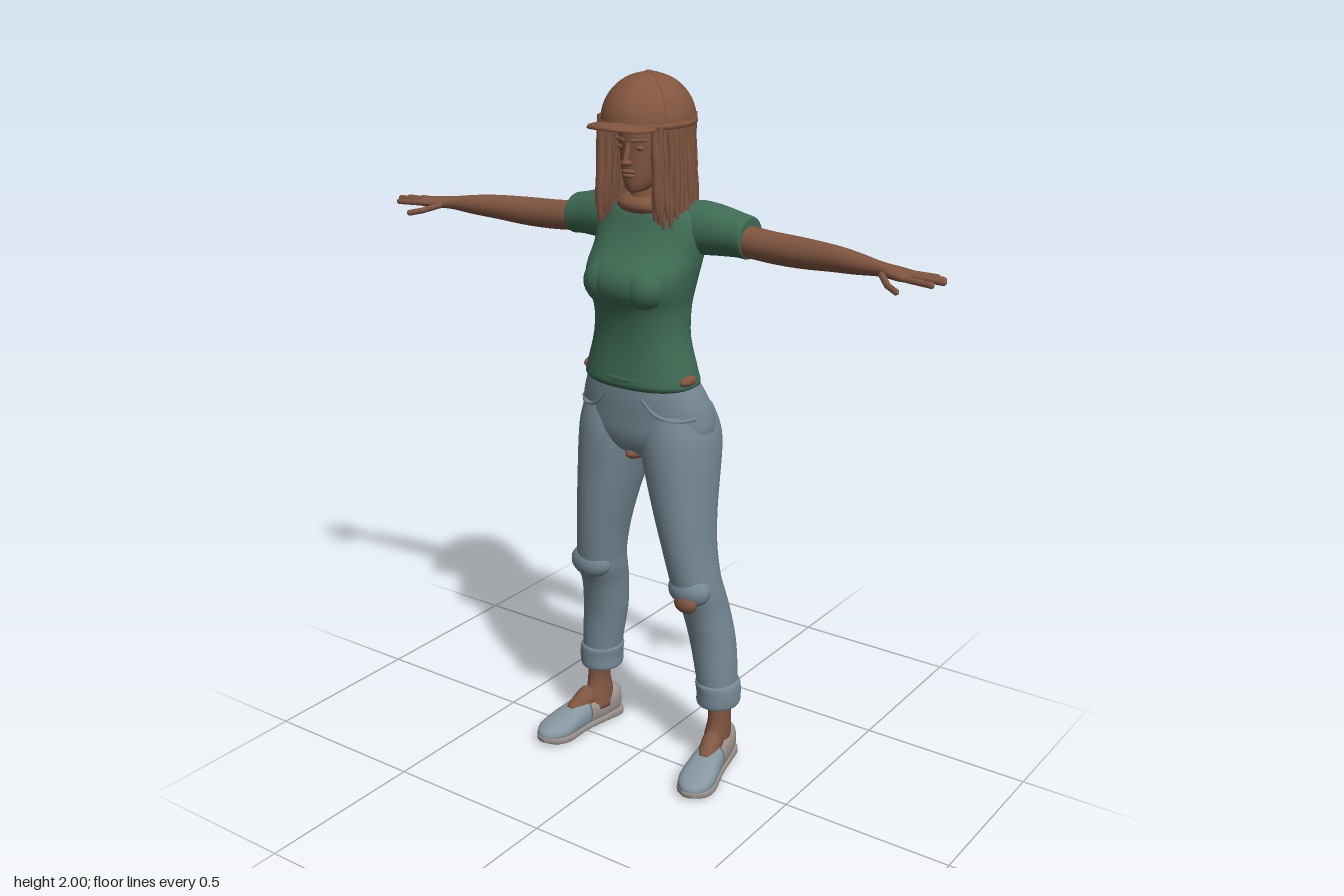
import * as THREE from 'three';
import { mergeGeometries } from 'three/addons/utils/BufferGeometryUtils.js';

const mat = (name, color) => {
  const m = new THREE.MeshStandardMaterial({ color, side: THREE.DoubleSide });
  m.name = name;
  return m;
};

// Smooth interpolation of rows of numbers
function smoothRows(rows, sub) {
  const out = [], at = i => rows[Math.min(Math.max(i, 0), rows.length - 1)];
  for (let i = 0; i < rows.length - 1; i++) {
    for (let s = 0; s < sub; s++) {
      const t = s / sub;
      out.push(rows[i].map((b, k) => {
        const a = at(i - 1)[k], c = at(i + 1)[k], d = at(i + 2)[k];
        return b + 0.5 * t * (c - a + t * (2 * a - 5 * b + 4 * c - d + t * (3 * (b - c) + d - a)));
      }));
    }
  }
  out.push(rows[rows.length - 1]);
  return out;
}

// Skin over rounded sections: each row is [position, a0, a1, b0, b1] along an axis
function loft(axis, rows, { n = 28, sub = 4, pow = 2 } = {}) {
  const rings = smoothRows(rows, sub), pos = [], idx = [];
  const put = (t, a, b) => pos.push(...(axis === 'x' ? [t, a, b] : axis === 'y' ? [a, t, b] : [a, b, t]));
  const round = v => Math.sign(v) * Math.abs(v) ** (2 / pow);
  const tri = (a, b, c) => (axis === 'y' ? idx.push(a, b, c) : idx.push(a, c, b));
  for (const [t, a0, a1, b0, b1] of rings) {
    for (let j = 0; j < n; j++) {
      const w = (j / n) * Math.PI * 2;
      put(t, (a0 + a1) / 2 + (a1 - a0) / 2 * round(Math.cos(w)), (b0 + b1) / 2 + (b1 - b0) / 2 * round(Math.sin(w)));
    }
  }
  const last = rings.length - 1, mid = pos.length / 3;
  for (const r of [rings[0], rings[last]]) put(r[0], (r[1] + r[2]) / 2, (r[3] + r[4]) / 2);
  for (let j = 0; j < n; j++) {
    const k = (j + 1) % n;
    for (let i = 0; i < last; i++) {
      tri(i * n + j, (i + 1) * n + j, i * n + k);
      tri(i * n + k, (i + 1) * n + j, (i + 1) * n + k);
    }
    tri(mid, j, k);
    tri(mid + 1, last * n + k, last * n + j);
  }
  const g = new THREE.BufferGeometry();
  g.setAttribute('position', new THREE.Float32BufferAttribute(pos, 3));
  g.setIndex(idx);
  g.computeVertexNormals();
  return g;
}

const ball = (x, y, z, rx, ry, rz) => new THREE.SphereGeometry(1, 20, 14).scale(rx, ry, rz).translate(x, y, z);

// Rounded rod between two points
function rod(p, q, r) {
  const a = new THREE.Vector3(...p), b = new THREE.Vector3(...q), d = b.clone().sub(a);
  const turn = new THREE.Quaternion().setFromUnitVectors(new THREE.Vector3(0, 1, 0), d.clone().normalize());
  return new THREE.CapsuleGeometry(r, d.length(), 4, 8).applyQuaternion(turn).translate(...a.add(b).multiplyScalar(0.5).toArray());
}

function mirrored(g) {
  const m = g.clone().scale(-1, 1, 1), ix = m.index.array;
  for (let i = 0; i < ix.length; i += 3) [ix[i], ix[i + 1]] = [ix[i + 1], ix[i]];
  return m;
}

export function createModel() {
  const model = new THREE.Group();
  const skin = mat('skin brown', 0x805540), hairMat = mat('hair brown', 0x7e543f), capMat = mat('cap brown', 0x83563f);
  const green = mat('shirt green', 0x3e6b54), denim = mat('denim blue', 0x768995);
  const shoeBlue = mat('shoe blue grey', 0x8697a1), shoeGrey = mat('shoe warm grey', 0x9a908c);
  const add = (name, g, m) => {
    const mesh = new THREE.Mesh(g, m);
    mesh.name = name;
    model.add(mesh);
  };
  const pair = (name, g, m) => {
    add('left ' + name, g, m);
    add('right ' + name, mirrored(g), m);
  };
  const sym = ([t, w, z0, z1]) => [t, -w, w, z0, z1];

  // Shirt
  add('shirt body', loft('y', [
    [1.165, 0.16, -0.1, 0.092], [1.18, 0.172, -0.112, 0.104], [1.21, 0.165, -0.108, 0.102], [1.3, 0.141, -0.1, 0.096],
    [1.38, 0.136, -0.115, 0.108], [1.44, 0.147, -0.133, 0.137], [1.49, 0.154, -0.147, 0.13], [1.54, 0.157, -0.157, 0.085],
    [1.59, 0.162, -0.158, 0.052], [1.63, 0.15, -0.148, 0.035], [1.655, 0.115, -0.13, 0.022], [1.668, 0.075, -0.11, 0.01],
  ].map(sym), { n: 40, pow: 2.25 }), green);
  pair('bust', ball(0.062, 1.455, 0.072, 0.066, 0.065, 0.062), green);
  pair('sleeve', loft('x', [
    [0.07, 1.55, 1.66, -0.14, -0.01], [0.13, 1.525, 1.667, -0.152, -0.012], [0.19, 1.527, 1.662, -0.15, -0.018],
    [0.25, 1.53, 1.648, -0.147, -0.026], [0.282, 1.528, 1.641, -0.146, -0.028], [0.286, 1.535, 1.634, -0.138, -0.034],
  ]), green);
  add('shirt hem', new THREE.TorusGeometry(1, 0.045, 8, 40).rotateX(Math.PI / 2).scale(0.164, 0.2, 0.104).translate(0, 1.195, -0.003), green);

  // Neck, upper chest and upper back
  add('neck', loft('y', [[1.6, 0.06, -0.12, 0.02], [1.66, 0.054, -0.11, 0.026], [1.7, 0.046, -0.1, 0.022], [1.77, 0.048, -0.1, 0.02]].map(sym)), skin);
  add('upper chest', ball(0, 1.655, -0.02, 0.085, 0.032, 0.066), skin);
  add('upper back', ball(0, 1.605, -0.092, 0.118, 0.068, 0.08), skin);

  // Arms and hands
  pair('arm', loft('x', [
    [0.2, 1.54, 1.625, -0.132, -0.042], [0.28, 1.535, 1.618, -0.126, -0.037], [0.36, 1.53, 1.613, -0.118, -0.036],
    [0.45, 1.531, 1.611, -0.108, -0.03], [0.55, 1.54, 1.608, -0.087, -0.019], [0.62, 1.546, 1.602, -0.069, -0.011],
    [0.69, 1.554, 1.592, -0.05, -0.006], [0.73, 1.556, 1.588, -0.053, 0.014], [0.77, 1.557, 1.585, -0.049, 0.03], [0.795, 1.561, 1.581, -0.042, 0.026],
  ], { n: 20 }), skin);
  const fingers = [[[0.77, 1.57, -0.04], [0.835, 1.567, -0.05]], [[0.78, 1.572, -0.02], [0.862, 1.57, -0.024]],
    [[0.78, 1.573, 0], [0.873, 1.571, 0]], [[0.78, 1.57, 0.02], [0.855, 1.567, 0.028]],
    [[0.715, 1.568, 0.008], [0.75, 1.555, 0.045]], [[0.75, 1.555, 0.045], [0.782, 1.548, 0.064]]];
  pair('fingers', mergeGeometries(fingers.map(([p, q]) => rod(p, q, 0.0085))), skin);

  // Jeans
  add('jeans hips', loft('y', [
    [0.955, 0.04, -0.07, 0.03], [0.985, 0.13, -0.13, 0.066], [1.03, 0.198, -0.155, 0.084], [1.09, 0.2, -0.15, 0.09],
    [1.14, 0.185, -0.128, 0.094], [1.185, 0.166, -0.105, 0.094],
  ].map(sym), { n: 40, pow: 2.2 }), denim);
  pair('jeans leg', loft('y', [
    [0.22, 0.158, 0.264, -0.145, -0.027], [0.3, 0.145, 0.263, -0.15, -0.022], [0.4, 0.127, 0.255, -0.152, -0.014],
    [0.5, 0.115, 0.241, -0.14, 0.012], [0.56, 0.104, 0.237, -0.122, 0.042], [0.61, 0.098, 0.23, -0.11, 0.054],
    [0.7, 0.08, 0.219, -0.11, 0.068], [0.8, 0.053, 0.215, -0.122, 0.078], [0.9, 0.024, 0.213, -0.146, 0.084],
    [0.98, 0.003, 0.211, -0.164, 0.087], [1.04, 0.002, 0.204, -0.164, 0.085], [1.1, 0.02, 0.185, -0.14, 0.075],
  ], { pow: 2.15 }), denim);
  pair('jeans cuff', loft('y', [
    [0.196, 0.16, 0.264, -0.145, -0.03], [0.203, 0.149, 0.274, -0.154, -0.021], [0.235, 0.149, 0.276, -0.156, -0.019],
    [0.265, 0.145, 0.272, -0.156, -0.018], [0.272, 0.152, 0.264, -0.148, -0.026],
  ]), denim);
  pair('knee fold', ball(0.172, 0.585, 0.012, 0.066, 0.05, 0.045), denim);
  pair('pocket edge', new THREE.TubeGeometry(new THREE.CatmullRomCurve3([
    [0.06, 1.145, 0.087], [0.1, 1.105, 0.079], [0.15, 1.09, 0.056], [0.188, 1.095, 0.015],
  ].map(p => new THREE.Vector3(...p))), 16, 0.006, 6), denim);

  // Skin showing through the clothes
  add('bare left knee', ball(0.178, 0.553, 0.04, 0.036, 0.028, 0.022), skin);
  add('crotch gap', ball(0, 0.968, 0.01, 0.026, 0.022, 0.06), skin);
  pair('bare hip', ball(0.158, 1.197, 0.012, 0.018, 0.016, 0.035), skin);

  // Ankles and shoes
  pair('ankle', loft('y', [
    [0.06, 0.178, 0.248, -0.135, -0.02], [0.11, 0.184, 0.25, -0.13, -0.03], [0.16, 0.19, 0.25, -0.124, -0.042], [0.24, 0.18, 0.252, -0.13, -0.04],
  ], { n: 20 }), skin);
  const shoe = (name, rows, opt, m) => pair(name, loft('z', rows, opt).rotateY(0.2).translate(0.236, 0, 0), m);
  shoe('shoe sole', [
    [-0.16, -0.022, 0.022, 0.01, 0.03], [-0.145, -0.038, 0.038, 0, 0.034], [-0.08, -0.042, 0.042, 0.003, 0.032],
    [0, -0.044, 0.046, 0.004, 0.03], [0.08, -0.056, 0.056, 0, 0.03], [0.125, -0.046, 0.046, 0.004, 0.032], [0.155, -0.018, 0.014, 0.014, 0.03],
  ], { pow: 3.5 }, shoeGrey);
  shoe('shoe heel', [
    [-0.157, -0.02, 0.02, 0.02, 0.095], [-0.14, -0.034, 0.034, 0.01, 0.106], [-0.09, -0.04, 0.04, 0.01, 0.096], [-0.03, -0.041, 0.042, 0.01, 0.092], [-0.01, -0.04, 0.042, 0.01, 0.09],
  ], { pow: 2.6 }, shoeGrey);
  shoe('shoe toe', [
    [-0.02, -0.041, 0.043, 0.005, 0.102], [0.03, -0.047, 0.048, 0.005, 0.088], [0.08, -0.053, 0.053, 0.005, 0.07],
    [0.12, -0.045, 0.045, 0.008, 0.058], [0.145, -0.027, 0.025, 0.012, 0.046], [0.153, -0.01, 0.008, 0.02, 0.036],
  ], { pow: 2.3 }, shoeBlue);
  shoe('shoe tongue', [[-0.06, -0.025, 0.025, 0.06, 0.115], [-0.03, -0.03, 0.03, 0.06, 0.13], [0.01, -0.026, 0.026, 0.05, 0.108], [0.04, -0.02, 0.02, 0.05, 0.087]], {}, skin);

  // Head and face
  add('head', loft('y', [
    [1.693, 0.012, 0.01, 0.044], [1.7, 0.028, -0.02, 0.054], [1.725, 0.046, -0.07, 0.06], [1.76, 0.06, -0.11, 0.062],
    [1.8, 0.068, -0.13, 0.062], [1.84, 0.072, -0.135, 0.065], [1.9, 0.07, -0.13, 0.06], [1.95, 0.045, -0.09, 0.03],
  ].map(sym)), skin);
  add('nose', mergeGeometries([rod([0, 1.82, 0.06], [0, 1.78, 0.073], 0.008), ball(0, 1.774, 0.071, 0.015, 0.009, 0.014)]), skin);
  add('lips', mergeGeometries([ball(0, 1.75, 0.061, 0.022, 0.006, 0.009), ball(0, 1.739, 0.06, 0.019, 0.006, 0.008)]), skin);
  pair('eye', ball(0.029, 1.812, 0.052, 0.013, 0.007, 0.007), skin);
  pair('brow', rod([0.014, 1.831, 0.063], [0.045, 1.833, 0.05], 0.005), hairMat);

  // Long locks hanging from under the cap
  let seed = 7;
  const rnd = () => (seed = (seed * 16807) % 2147483647) / 2147483647;
  const locks = [];
  for (let layer = 0; layer < 2; layer++) {
    for (let i = 0; i < 34; i++) {
      const w = -2.5 + (5 * i) / 33, front = Math.abs(w) / 2.5, inset = layer * 0.018;
      const end = 1.545 + 0.065 * front ** 2 + rnd() * 0.05, r = 0.0095 + rnd() * 0.004;
      const rows = [];
      for (let k = 0; k <= 5; k++) {
        const t = k / 5, drop = 1 - t;
        const rx = 0.103 - inset + 0.013 * drop + (rnd() - 0.5) * 0.009, rz = 0.122 - inset + 0.006 * drop + (rnd() - 0.5) * 0.009;
        const x = Math.sin(w) * rx + Math.sign(w) * front ** 6 * 0.022, z = -0.038 - Math.cos(w) * rz;
        const q = k === 0 ? r * 0.4 : r;
        rows.push([end + (1.89 - end) * t, x - q, x + q, z - q, z + q]);
      }
      locks.push(loft('y', rows, { n: 7, sub: 2 }));
    }
  }
  add('hair locks', mergeGeometries(locks), hairMat);
  add('hair mass', loft('y', [[1.62, 0.09, -0.15, -0.07], [1.7, 0.095, -0.152, -0.04], [1.8, 0.097, -0.152, -0.02], [1.89, 0.1, -0.15, 0.0]].map(sym)), hairMat);

  // Cap with seams, band, button and brim
  const capC = [0, 1.872, -0.03];
  add('cap crown', new THREE.SphereGeometry(1, 36, 14, 0, Math.PI * 2, 0, Math.PI / 2).scale(0.12, 0.124, 0.138).translate(...capC), capMat);
  add('cap band', new THREE.TorusGeometry(1, 0.04, 8, 40).rotateX(Math.PI / 2).scale(0.119, 0.2, 0.136).translate(...capC), capMat);
  const seams = [0, 1, 2].map(i => new THREE.TorusGeometry(1, 0.012, 6, 30, Math.PI).rotateY(Math.PI / 2 + i * Math.PI / 3).scale(0.12, 0.124, 0.138).translate(...capC));
  add('cap seams', mergeGeometries(seams), capMat);
  add('cap button', ball(0, 1.996, -0.03, 0.01, 0.005, 0.01), capMat);
  const brim = loft('y', [[1.87, 0.088, -0.02, 0.174], [1.874, 0.094, -0.02, 0.18], [1.882, 0.09, -0.02, 0.174]].map(sym), { n: 40, sub: 2 });
  const p = brim.attributes.position;
  for (let i = 0; i < p.count; i++) p.setY(i, p.getY(i) - 1.2 * p.getX(i) ** 2);
  brim.computeVertexNormals();
  add('cap brim', brim, capMat);
  return model;
}
